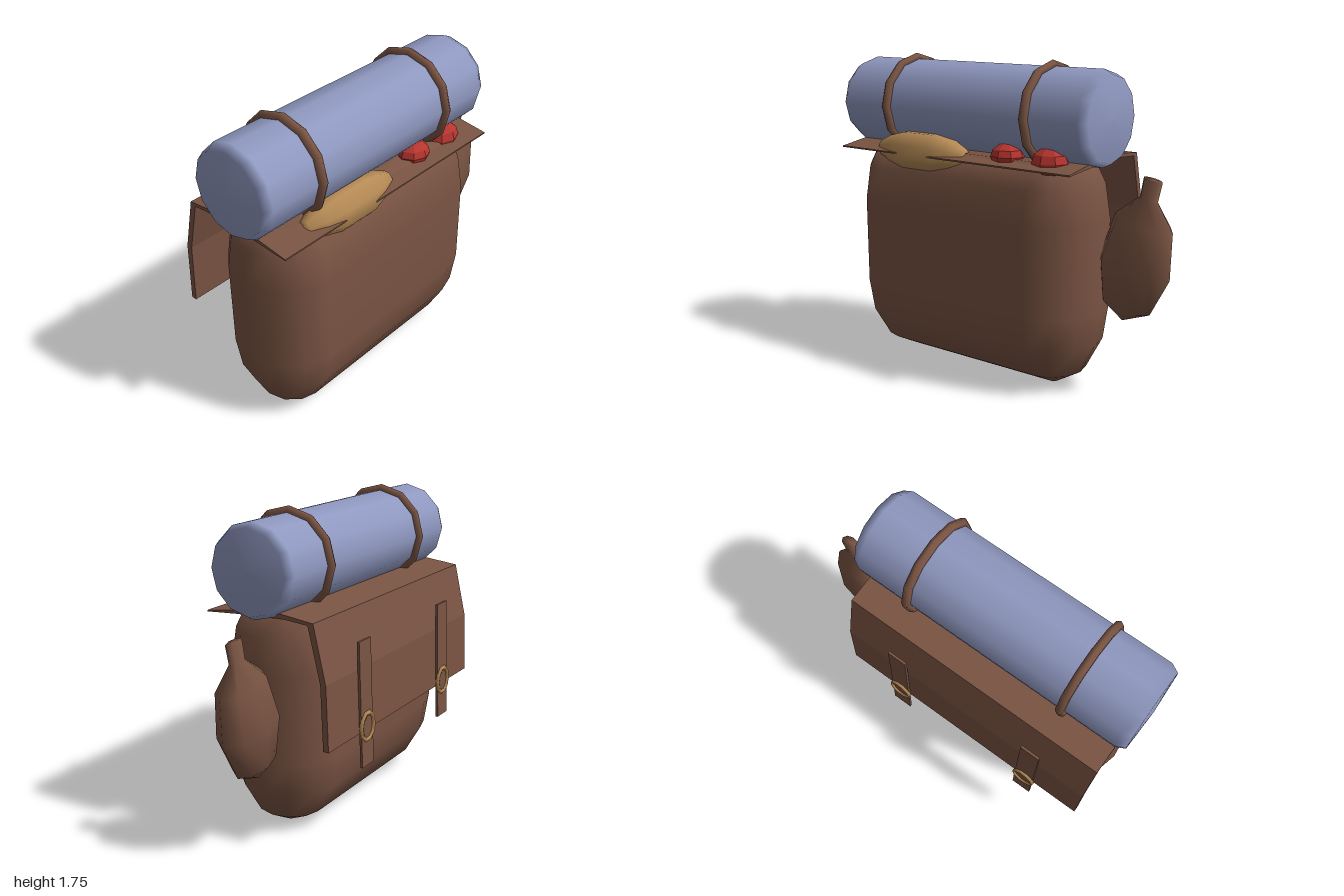
import * as THREE from 'three';

const mat = (name, color, extra = {}) => new THREE.MeshStandardMaterial({ name, color, ...extra });

// Closed skin over rings of equal point count, listed from bottom to top
function loft(rings) {
  const n = rings[0].length, pos = rings.flat(2), index = [];
  for (let i = 0; i < rings.length - 1; i++) {
    for (let j = 0; j < n; j++) {
      const k = (j + 1) % n, a = i * n + j, b = i * n + k;
      index.push(a, a + n, b, b, a + n, b + n);
    }
  }
  const top = (rings.length - 1) * n;
  for (let j = 1; j < n - 1; j++) {
    index.push(0, j, j + 1);
    index.push(top, top + j + 1, top + j);
  }
  const g = new THREE.BufferGeometry();
  g.setAttribute('position', new THREE.Float32BufferAttribute(pos, 3));
  g.setIndex(index);
  g.computeVertexNormals();
  return g;
}

export function createModel() {
  const group = new THREE.Group();
  const leather = mat('brown leather', 0x7a5443);
  const cloth = mat('blue cloth', 0x8f98c0);
  const tan = mat('golden tan', 0xb58a55);
  const red = mat('red', 0xb8352f, { flatShading: true });
  const add = (name, geometry, material, x = 0, y = 0, z = 0) => {
    const m = new THREE.Mesh(geometry, material);
    m.name = name;
    m.position.set(x, y, z);
    group.add(m);
    return m;
  };
  const lathe = (pts, sides, start = 0) =>
    new THREE.LatheGeometry(pts.map(p => new THREE.Vector2(...p)), sides, start);

  // Bag: a stretched ellipsoid, flat across front and back
  const rings = [-86, -53, -25, 0, 0, 25, 47].map((deg, i) => {
    const t = THREE.MathUtils.degToRad(deg), ring = [];
    const y = (i < 4 ? 0.44 : 0.93) + 0.44 * Math.sin(t);
    for (const side of [1, -1]) {
      for (let k = -3; k <= 3; k++) {
        const p = k * Math.PI / 6;
        ring.push([side * (0.5 + 0.28 * Math.cos(t) * Math.cos(p)), y,
          side * 0.31 * Math.cos(t) * Math.sin(p)]);
      }
    }
    return ring;
  });
  add('bag', loft(rings), leather, -0.16, 0, 0.08);

  // Flap: bent sheet over the top, hanging down the back (z, y outline)
  const flapShape = new THREE.Shape([
    [0.385, 1.22], [0.2, 1.235], [-0.1, 1.25], [-0.24, 1.24], [-0.312, 0.95], [-0.328, 0.6],
    [-0.36, 0.6], [-0.345, 0.95], [-0.272, 1.255], [-0.08, 1.275], [0.2, 1.255], [0.385, 1.228],
  ].map(p => new THREE.Vector2(...p)));
  const flap = new THREE.ExtrudeGeometry(flapShape, { depth: 1.56, bevelEnabled: false });
  flap.rotateY(-Math.PI / 2);
  add('flap', flap, leather, 0.62);

  // Closing straps with oval buckles
  for (const x of [-0.6, 0.27]) {
    const strap = add('closingStrap', new THREE.BoxGeometry(0.115, 0.69, 0.014), leather, x, 0.755, -0.362);
    strap.rotation.x = 0.04;
    const buckle = add('buckle', new THREE.TorusGeometry(0.06, 0.011, 5, 10), tan, x, 0.63, -0.375);
    buckle.scale.set(1, 1.28, 1.2);
  }

  // Bedroll with slightly domed ends
  const roll = lathe([[0, -0.84], [0.225, -0.83], [0.25, -0.78], [0.25, 0.78], [0.225, 0.83], [0, 0.84]], 12);
  roll.rotateZ(-Math.PI / 2);
  add('bedroll', roll, cloth, -0.16, 1.47, 0.08);
  for (const x of [-0.63, 0.31]) {
    const band = new THREE.TorusGeometry(0.258, 0.025, 6, 12);
    band.rotateY(Math.PI / 2);
    add('bedrollBand', band, leather, x, 1.47, 0.08);
  }

  // Bread loaf lying along x
  const loaf = lathe([[0, -0.31], [0.4, -0.3], [0.75, -0.21], [1, -0.1], [1, 0.1], [0.75, 0.21], [0.4, 0.3], [0, 0.31]],
    8, Math.PI / 8);
  loaf.rotateZ(-Math.PI / 2);
  loaf.scale(1, 0.118, 0.107);
  add('bread', loaf, tan, -0.41, 1.228, 0.287);

  // Fruit
  add('smallFruit', new THREE.SphereGeometry(1, 8, 6), red, 0.15, 1.26, 0.25).scale.set(0.095, 0.07, 0.09);
  add('largeFruit', new THREE.SphereGeometry(1, 8, 6), red, 0.41, 1.25, 0.235).scale.set(0.105, 0.083, 0.095);

  // Flattened water skin leaning out from the side
  const skin = lathe([[0, 0], [0.145, 0.09], [0.21, 0.31], [0.168, 0.555], [0.052, 0.68], [0.054, 0.785], [0, 0.785]], 8);
  skin.scale(1, 1, 0.59);
  add('waterSkin', skin, leather, 0.72, 0.41, 0.012).rotation.z = -0.2;

  return group;
}
